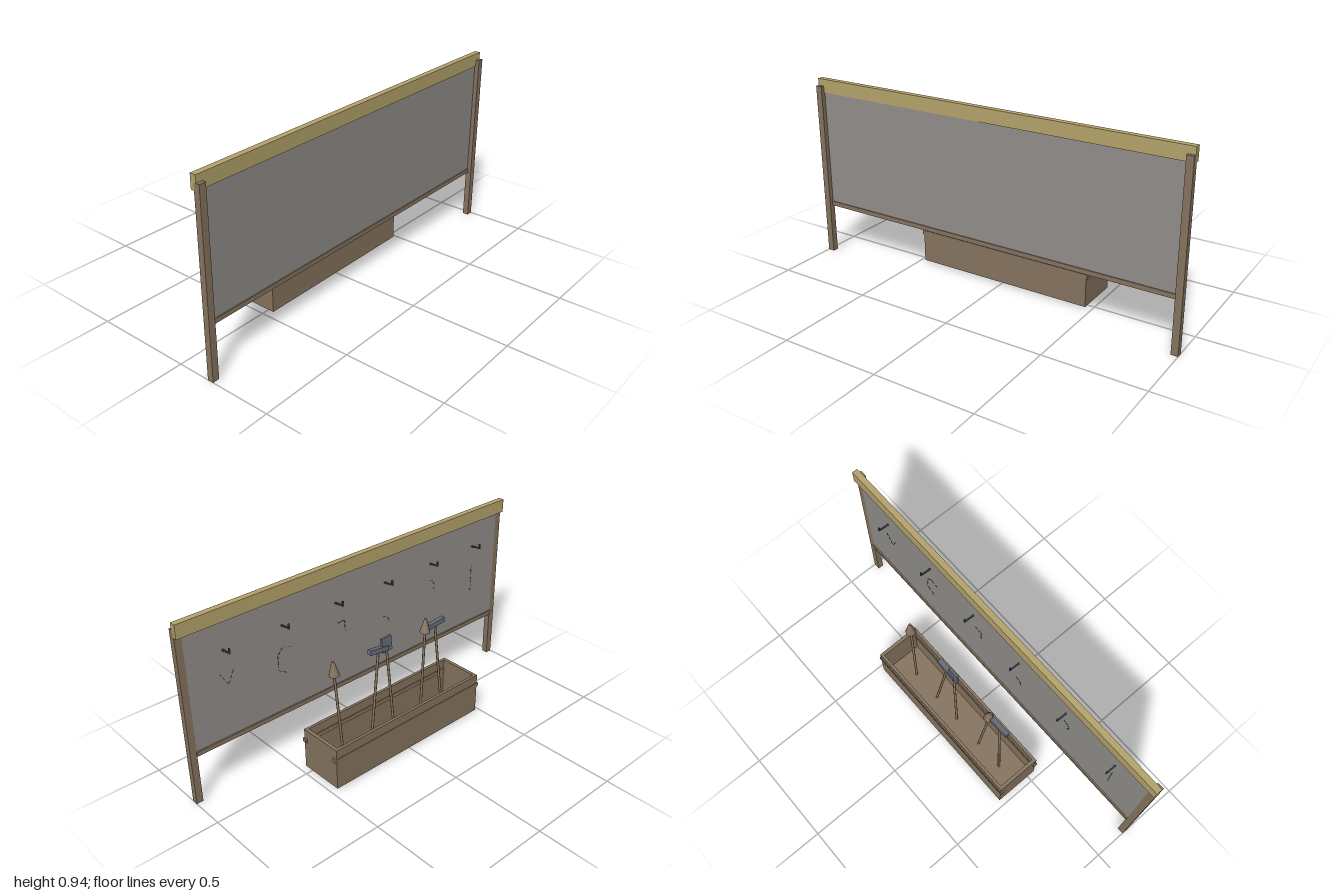
import * as THREE from 'three';

const mat = (name, color) => Object.assign(new THREE.MeshStandardMaterial({ color }), { name });

export function createModel() {
  const model = new THREE.Group();
  model.name = 'toolBoard';
  const wood = mat('brown wood', 0x86745f);
  const pale = mat('pale wood', 0xb5a36c);
  const grey = mat('board grey', 0x918e8a);
  const steel = mat('blue steel', 0x656d78);
  const dark = mat('dark iron', 0x47474a);

  const add = (name, geo, m, parent = model) => {
    const mesh = new THREE.Mesh(geo, m);
    mesh.name = name;
    parent.add(mesh);
    return mesh;
  };
  // box given by its min and max on each axis
  const box = (name, m, [x0, x1], [y0, y1], [z0, z1], parent) => {
    const b = add(name, new THREE.BoxGeometry(x1 - x0, y1 - y0, z1 - z0), m, parent);
    b.position.set((x0 + x1) / 2, (y0 + y1) / 2, (z0 + z1) / 2);
    return b;
  };
  const up = new THREE.Vector3(0, 1, 0);
  // bar stretched between two points
  const bar = (name, m, a, b, geoFor, parent) => {
    const p = new THREE.Vector3(...a), q = new THREE.Vector3(...b);
    const dir = q.clone().sub(p);
    const mesh = add(name, geoFor(dir.length()), m, parent);
    mesh.position.copy(p).add(q).multiplyScalar(0.5);
    mesh.quaternion.setFromUnitVectors(up, dir.normalize());
    return mesh;
  };

  // Board frame
  for (const s of [-1, 1]) {
    const [a, b] = [s * 0.966, s * 1].sort((p, q) => p - q);
    box('post', wood, [a, b], [0, 0.902], [0.167, 0.198]);
  }
  box('headerBeam', pale, [-1, 1], [0.868, 0.937], [0.15, 0.18]);
  box('bottomRail', wood, [-0.968, 0.968], [0.257, 0.28], [0.16, 0.18]);
  box('boardPanel', grey, [-0.968, 0.968], [0.278, 0.872], [0.167, 0.175]);

  // Hooks along the back of the board
  const rod = (l) => new THREE.BoxGeometry(0.007, l, 0.007);
  for (let i = 0; i < 6; i++) {
    const x = -0.785 + i * 0.3135;
    const hook = new THREE.Group();
    hook.name = 'hook';
    model.add(hook);
    bar('hookArm', dark, [x, 0.727, 0.168], [x, 0.735, 0.11], rod, hook);
    bar('hookTip', dark, [x, 0.731, 0.112], [x, 0.758, 0.112], rod, hook);
  }

  // Dashed tool outlines painted under the hooks
  const arc = (cx, cy, r, a0, a1) => Array.from({ length: 6 }, (_, i) => {
    const t = a0 + (a1 - a0) * i / 5;
    return [cx + r * Math.cos(t), cy + r * Math.sin(t)];
  });
  const outlines = [
    [[0.81, 0.615], [0.77, 0.546], [0.735, 0.615]],
    [[0.42, 0.6], [0.47, 0.615], [0.5, 0.58], [0.5, 0.5], [0.45, 0.47]],
    [[0.145, 0.615], [0.1, 0.615], [0.1, 0.55]],
    arc(-0.15, 0.5, 0.04, Math.PI / 2, Math.PI),
    arc(-0.47, 0.59, 0.04, Math.PI / 2, Math.PI * 1.2),
    [[-0.79, 0.62], [-0.79, 0.46]],
  ];
  const dash = (l) => new THREE.BoxGeometry(0.003, l, 0.002);
  for (const pts of outlines) {
    for (let i = 0; i + 1 < pts.length; i++) {
      const [a, b] = [pts[i], pts[i + 1]];
      const n = Math.max(1, Math.round(Math.hypot(b[0] - a[0], b[1] - a[1]) / 0.024));
      const at = (t) => [a[0] + (b[0] - a[0]) * t, a[1] + (b[1] - a[1]) * t, 0.1665];
      for (let k = 0; k < n; k++) bar('outlineDash', dark, at((k + 0.15) / n), at((k + 0.75) / n), dash);
    }
  }

  // Open crate
  const crate = new THREE.Group();
  crate.name = 'crate';
  model.add(crate);
  box('crateFloor', wood, [-0.47, 0.47], [0.01, 0.025], [-0.193, 0.04], crate);
  box('crateBackWall', wood, [-0.47, 0.47], [0.01, 0.226], [-0.193, -0.178], crate);
  box('crateFrontWall', wood, [-0.47, 0.47], [0.01, 0.226], [0.025, 0.04], crate);
  for (const s of [-1, 1]) {
    const [a, b] = [s * 0.452, s * 0.47].sort((p, q) => p - q);
    box('crateEnd', wood, [a, b], [0.01, 0.226], [-0.18, 0.027], crate);
  }
  box('crateBatten', wood, [-0.477, 0.477], [0.157, 0.179], [-0.196, -0.173], crate);
  box('crateBatten', wood, [-0.477, 0.477], [0.157, 0.179], [0.02, 0.043], crate);

  // Tools leaning in the crate: [foot x, top x, head]
  const tools = [
    [0.33, 0.36, 'cone'], [0.16, 0.088, 'bar'], [0, 0.038, 'blade'],
    [-0.175, -0.22, 'cone'], [-0.335, -0.287, 'bar'],
  ];
  const heads = {
    cone: () => new THREE.CylinderGeometry(0.006, 0.027, 0.073, 8),
    bar: () => new THREE.BoxGeometry(0.115, 0.024, 0.024),
    blade: () => new THREE.BoxGeometry(0.06, 0.075, 0.012),
  };
  const handle = (l) => new THREE.CylinderGeometry(0.0065, 0.0065, l, 8);
  for (const [x0, x1, kind] of tools) {
    const tool = new THREE.Group();
    tool.name = kind + 'Tool';
    model.add(tool);
    const shaft = bar('handle', wood, [x0, 0.025, -0.079], [x1, 0.54, -0.057], handle, tool);
    const head = add(kind + 'Head', heads[kind](), kind === 'cone' ? wood : steel, tool);
    head.position.set(x1, kind === 'bar' ? 0.543 : 0.556, -0.057);
    head.quaternion.copy(shaft.quaternion);
  }
  return model;
}
